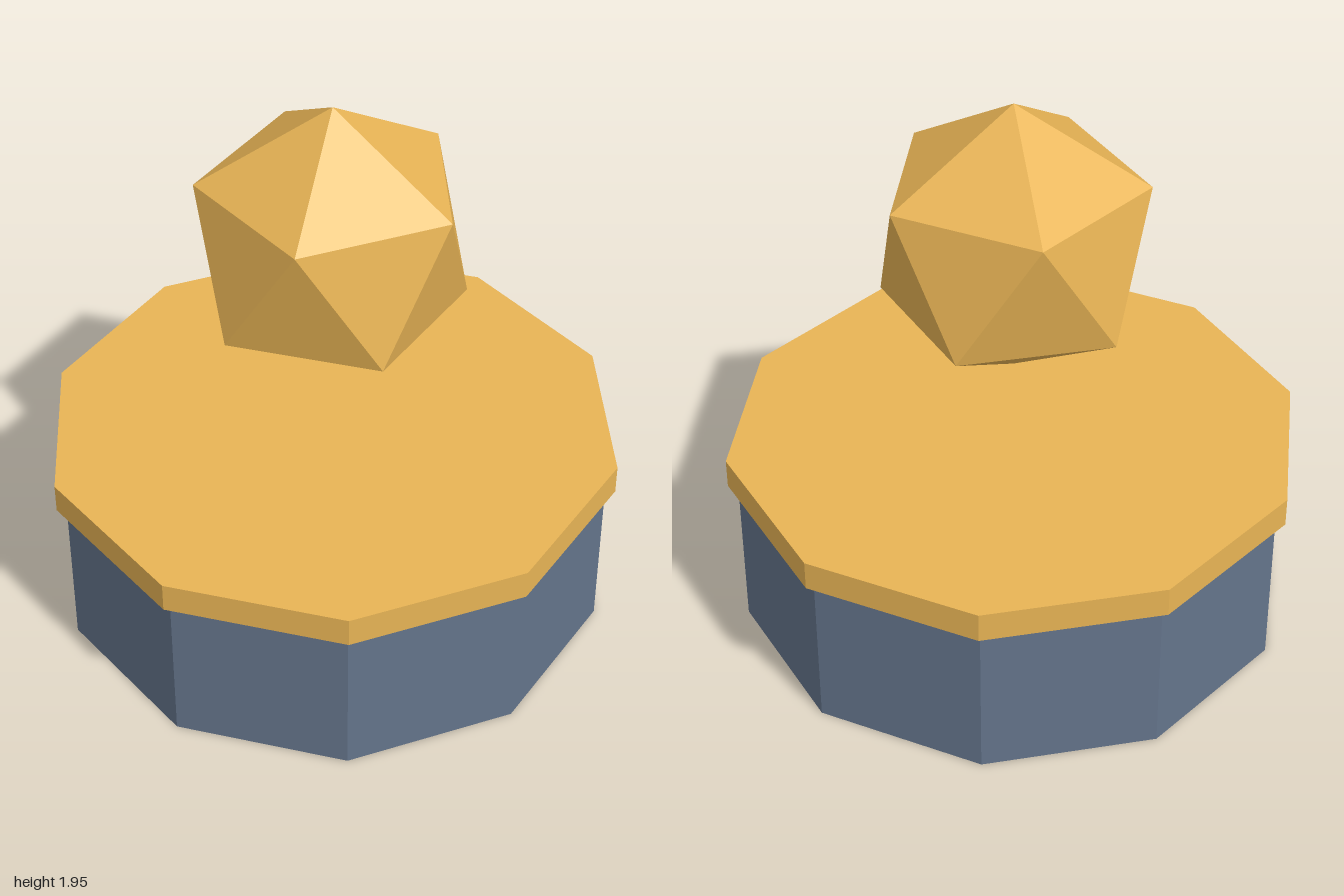
import * as THREE from 'three';

export function createModel() {
  const group = new THREE.Group();
  const gold = new THREE.MeshStandardMaterial({ color: 0xe8b455, flatShading: true });
  const slate = new THREE.MeshStandardMaterial({ color: 0x64748b, flatShading: true });

  const add = (name, geometry, material, y) => {
    const mesh = new THREE.Mesh(geometry, material);
    mesh.name = name;
    mesh.position.y = y;
    group.add(mesh);
  };

  // Ten-sided pedestal with a slightly wider slab on top
  const sides = 10, baseHeight = 0.575, slabHeight = 0.105;
  add('pedestal', new THREE.CylinderGeometry(0.965, 0.965, baseHeight, sides), slate, baseHeight / 2);
  add('topSlab', new THREE.CylinderGeometry(1, 1, slabHeight, sides), gold, baseHeight + slabHeight / 2);

  // Floating gem: an icosahedron turned to stand on one corner
  const goldenRatio = (1 + Math.sqrt(5)) / 2;
  const gem = new THREE.IcosahedronGeometry(0.503, 0).rotateZ(-Math.atan(1 / goldenRatio));
  add('floatingGem', gem, gold, 1.448);

  return group;
}
